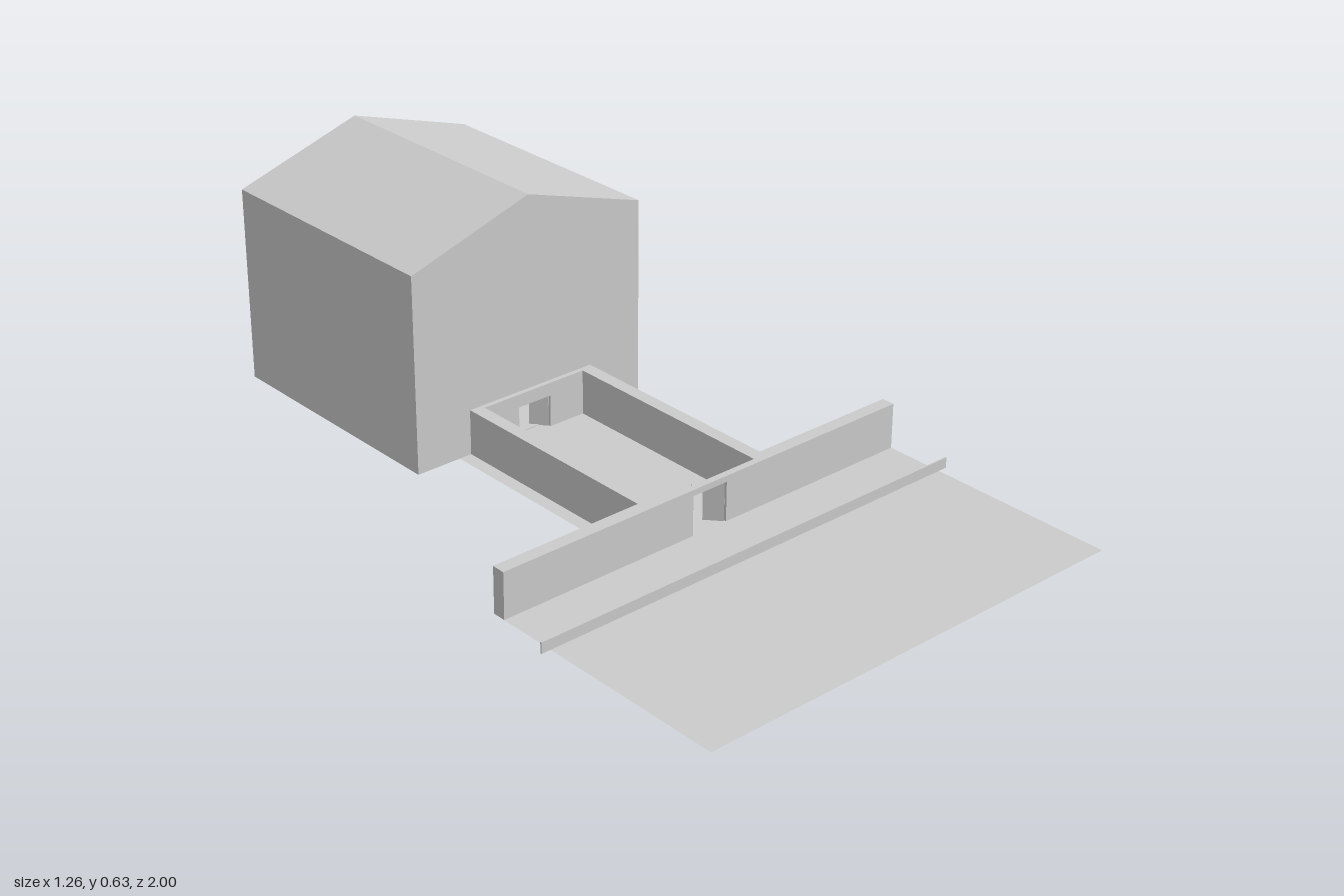
import * as THREE from 'three';

const grey = new THREE.MeshStandardMaterial({ color: 0xcccccc, flatShading: true, side: THREE.DoubleSide });

function add(group, name, geometry) {
  const mesh = new THREE.Mesh(geometry, grey);
  mesh.name = name;
  group.add(mesh);
  return mesh;
}

// Box given by its extents
function block(group, name, x0, x1, y0, y1, z0, z1) {
  const mesh = add(group, name, new THREE.BoxGeometry(x1 - x0, y1 - y0, z1 - z0));
  mesh.position.set((x0 + x1) / 2, (y0 + y1) / 2, (z0 + z1) / 2);
  return mesh;
}

const polygon = (points) => points.map(([x, y]) => new THREE.Vector2(x, y));

// Upright outline extruded from z0 to z1, with optional holes
function slab(group, name, outline, holes, z0, z1) {
  const shape = new THREE.Shape(polygon(outline));
  holes.forEach((h) => shape.holes.push(new THREE.Path(polygon(h))));
  const geometry = new THREE.ExtrudeGeometry(shape, { depth: z1 - z0, bevelEnabled: false });
  add(group, name, geometry).position.z = z0;
}

const gable = (w, base, eave, ridge) => [[-w, base], [w, base], [w, eave], [0, ridge], [-w, eave]];

// Wall outline with a doorway cut up from the ground
function wallWithDoor(half, height, doorHalf, doorHeight) {
  return [[-half, 0], [-doorHalf, 0], [-doorHalf, doorHeight], [doorHalf, doorHeight],
    [doorHalf, 0], [half, 0], [half, height], [-half, height]];
}

// Pair of door leaves standing ajar, swung towards -z
function doorPair(group, name, half, height, z) {
  for (const s of [-1, 1]) {
    const hinge = new THREE.Group();
    hinge.name = name;
    hinge.position.set(s * half, 0, z);
    hinge.rotation.y = -s * 0.85;
    const a = Math.min(0, -s * 0.05), b = Math.max(0, -s * 0.05);
    block(hinge, name + 'Leaf', a, b, 0, height, -0.002, 0.002);
    group.add(hinge);
  }
}

export function createModel() {
  const model = new THREE.Group();
  model.name = 'hallWithForecourt';

  // Ground: forecourt, courtyard strip and hall floor in one outline
  const half = [[0.605, 1], [0.605, 0.31], [0.225, 0.31], [0.225, -0.3], [0.35, -0.3], [0.35, -1]];
  const outline = [...half, ...half.map(([x, z]) => [-x, z]).reverse()];
  const ground = new THREE.ShapeGeometry(new THREE.Shape(polygon(outline)));
  ground.rotateX(Math.PI / 2);
  add(model, 'ground', ground);

  // Hall: gabled shell, back wall and front wall with doorway
  const outer = gable(0.35, 0, 0.52, 0.63);
  slab(model, 'hallShell', outer, [gable(0.34, 0.002, 0.512, 0.62)], -0.99, -0.31);
  slab(model, 'hallBackWall', outer, [], -1, -0.99);
  const front = [[-0.35, 0], [-0.05, 0], [-0.05, 0.085], [0.05, 0.085], [0.05, 0],
    [0.35, 0], [0.35, 0.52], [0, 0.63], [-0.35, 0.52]];
  slab(model, 'hallFrontWall', front, [], -0.31, -0.3);

  // Courtyard walls
  slab(model, 'courtyardBackWall', wallWithDoor(0.155, 0.12, 0.05, 0.085), [], -0.3, -0.287);
  slab(model, 'gateWall', wallWithDoor(0.155, 0.12, 0.052, 0.104), [], 0.327, 0.345);
  for (const s of [-1, 1]) {
    const span = (a, b) => (s > 0 ? [a, b] : [-b, -a]);
    block(model, 'courtyardSideWall', ...span(0.155, 0.19), 0, 0.12, -0.3, 0.31);
    block(model, 'frontWall', ...span(0.155, 0.605), 0, 0.12, 0.31, 0.345);
  }

  // Doors
  doorPair(model, 'gateDoor', 0.05, 0.104, 0.34);
  doorPair(model, 'hallDoor', 0.05, 0.085, -0.293);

  // Low kerb rail across the forecourt
  block(model, 'lowRail', -0.63, 0.63, 0, 0.028, 0.498, 0.502);

  return model;
}
